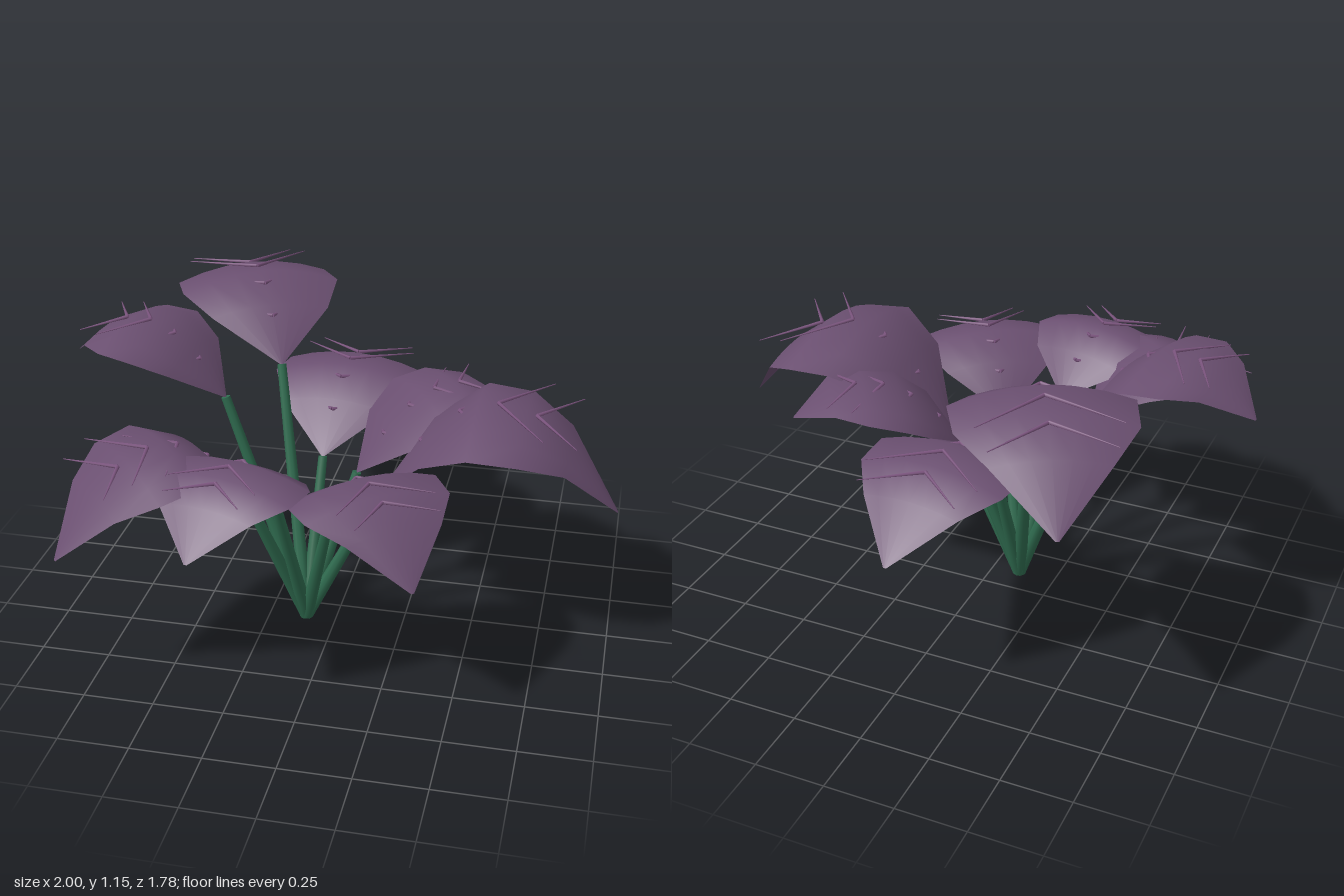
import * as THREE from 'three';

const leafMat = new THREE.MeshStandardMaterial({ color: 0x6a4f70, side: THREE.DoubleSide });
leafMat.name = 'leaf purple';
const veinMat = new THREE.MeshStandardMaterial({ color: 0x7d5680 });
veinMat.name = 'vein mauve';
const stemMat = new THREE.MeshStandardMaterial({ color: 0x2f6b4f });
stemMat.name = 'stem green';

// Leaf profile rows: position along the leaf, width share, height share
const ROWS = [[0, 0.02, 0], [0.2, 0.73, 0.68], [0.4, 1, 1], [0.6, 0.96, 0.95], [0.78, 0.63, 0.66], [1, 0.02, 0]];
const DROOP = 0.7;

// angle (degrees from +x towards +z), base and tip radius, half width, base and tip height, arch
const LEAVES = [
  [0, 0.28, 1.11, 0.325, 0.57, 0.57, 0.375],
  [-33, 0.2, 0.82, 0.26, 0.57, 0.75, 0.2],
  [-85, 0.21, 0.943, 0.28, 0.57, 0.58, 0.245],
  [-117.7, 0.33, 1.12, 0.3, 0.89, 0.87, 0.26],
  [-170, 0.305, 0.9, 0.265, 0.85, 0.94, 0.21],
  [137, 0.27, 0.955, 0.28, 0.64, 0.53, 0.27],
  [104.5, 0.25, 0.805, 0.27, 0.66, 0.65, 0.21],
  [53, 0.23, 0.84, 0.27, 0.57, 0.57, 0.24],
];

// Tapered rod between two points
function rod(name, from, to, r0, r1, sides, mat) {
  const dir = to.clone().sub(from);
  const mesh = new THREE.Mesh(new THREE.CylinderGeometry(r1, r0, dir.length(), sides), mat);
  mesh.position.copy(from).addScaledVector(dir, 0.5);
  mesh.quaternion.setFromUnitVectors(new THREE.Vector3(0, 1, 0), dir.normalize());
  mesh.name = name;
  return mesh;
}

function makeLeaf([angle, r0, r1, half, y0, y1, arch]) {
  const group = new THREE.Group();
  group.name = 'leafWithStem';
  group.rotation.y = -THREE.MathUtils.degToRad(angle);
  const length = r1 - r0;
  const base = new THREE.Vector3(r0, y0, 0);

  // Height of the midrib at a share t of the length
  const ridge = (t) => {
    let i = 0;
    while (i < ROWS.length - 2 && t > ROWS[i + 1][0]) i++;
    const [a, b] = [ROWS[i], ROWS[i + 1]];
    const k = (t - a[0]) / (b[0] - a[0]);
    return y0 + (y1 - y0) * t + arch * (a[2] + (b[2] - a[2]) * k);
  };

  // Arched blade
  const geo = new THREE.PlaneGeometry(1, 2, ROWS.length - 1, 6).rotateX(-Math.PI / 2);
  const pos = geo.attributes.position;
  for (let i = 0; i < pos.count; i++) {
    const [t, w] = ROWS[Math.round((pos.getX(i) + 0.5) * (ROWS.length - 1))];
    const z = pos.getZ(i) * w * half;
    pos.setXYZ(i, r0 + t * length, ridge(t) - DROOP * z * z, z);
  }
  geo.computeVertexNormals();
  const blade = new THREE.Mesh(geo, leafMat);
  blade.name = 'leafBlade';
  group.add(blade);

  // Pairs of straight veins fanning towards the tip
  for (const [t, len] of [[0.16, 0.24], [0.32, 0.32], [0.48, 0.36], [0.64, 0.31]]) {
    const start = new THREE.Vector3(r0 + t * length, ridge(t) + 0.006, 0);
    for (const side of [-1, 1]) {
      const end = start.clone().add(new THREE.Vector3(0.58, -0.06, 0.8 * side).multiplyScalar(len * length));
      group.add(rod('leafVein', start, end, 0.007, 0.0015, 5, veinMat));
    }
  }

  // Stem from the shared root to the leaf base
  group.add(rod('stem', new THREE.Vector3(0, 0.008, 0), base, 0.026, 0.017, 8, stemMat));
  return group;
}

export function createModel() {
  const plant = new THREE.Group();
  plant.name = 'plant';
  const crown = new THREE.Group();
  crown.name = 'crown';
  crown.position.set(-0.11, 0, 0.1);
  for (const leaf of LEAVES) crown.add(makeLeaf(leaf));
  plant.add(crown);
  return plant;
}
